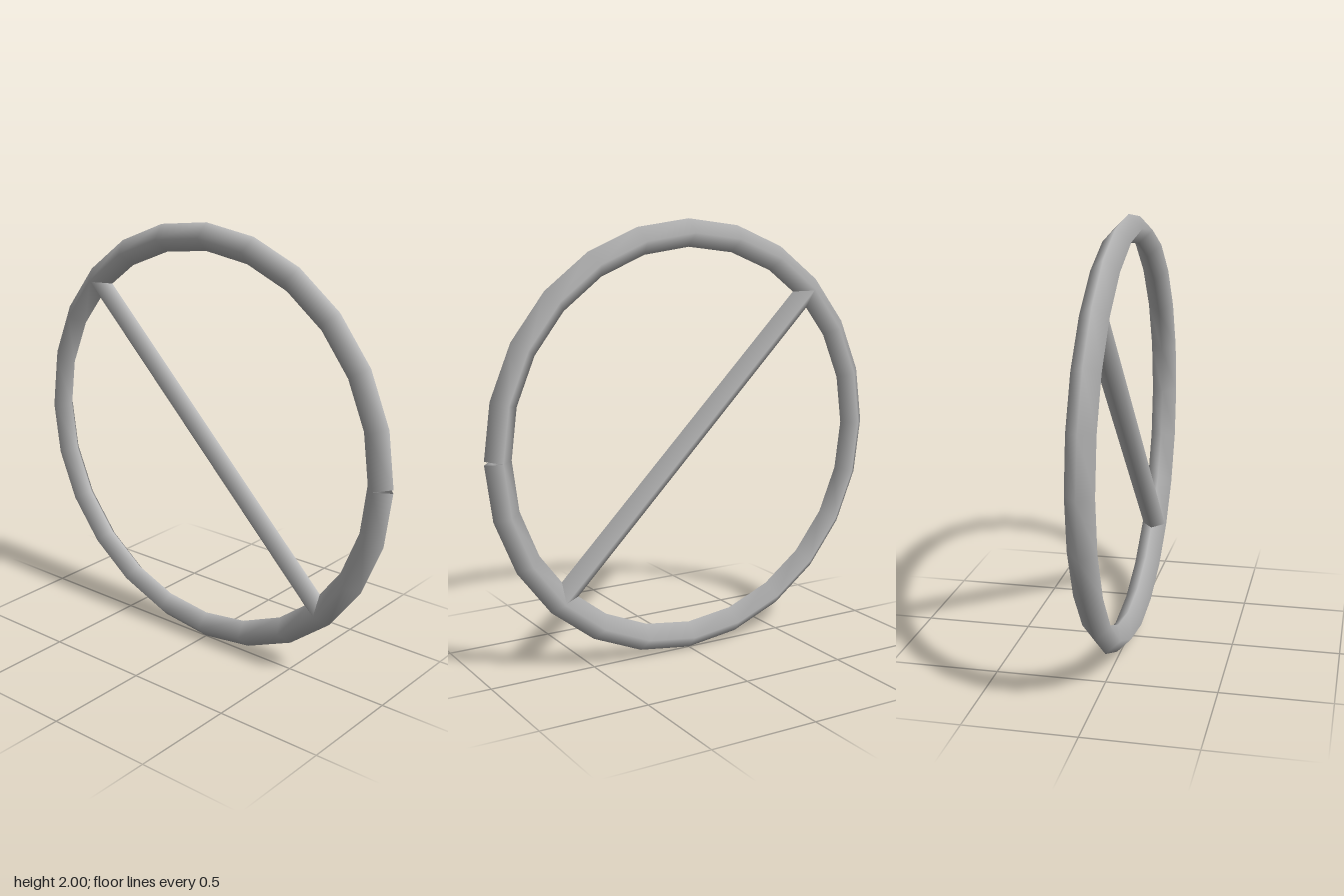
import * as THREE from 'three';

const RING_RADIUS = 0.9375;
const TUBE_RADIUS = 0.0625;
const SIDES = 4;
const SEGMENTS = 24;

// Ring bent from a four-sided tube; its two open ends are cut square to their
// straight segments, which leaves a small notch on the outside at +x.
function createRingGeometry() {
  const geometry = new THREE.TorusGeometry(RING_RADIUS, TUBE_RADIUS, SIDES, SEGMENTS);
  const position = geometry.attributes.position;
  const tilt = Math.PI / SEGMENTS;
  for (let j = 0; j <= SIDES; j++) {
    const offset = TUBE_RADIUS * Math.cos((j / SIDES) * Math.PI * 2);
    const row = j * (SEGMENTS + 1);
    for (const [i, sign] of [[0, 1], [SEGMENTS, -1]]) {
      position.setX(row + i, RING_RADIUS + offset * Math.cos(tilt));
      position.setY(row + i, sign * offset * Math.sin(tilt));
    }
  }
  return geometry;
}

export function createModel() {
  const model = new THREE.Group();
  model.name = 'barredRing';

  const grey = new THREE.MeshStandardMaterial({ color: 0xb8b8b8, side: THREE.DoubleSide });
  grey.name = 'grey';

  const ring = new THREE.Mesh(createRingGeometry(), grey);
  ring.name = 'ring';
  ring.position.y = 1;

  // Diagonal bar, its ends buried in the ring
  const bar = new THREE.Mesh(new THREE.CylinderGeometry(0.056, 0.056, 1.86, SIDES), grey);
  bar.name = 'diagonalBar';
  bar.position.y = 1;
  bar.rotation.z = Math.PI / 4;

  model.add(ring, bar);
  return model;
}
